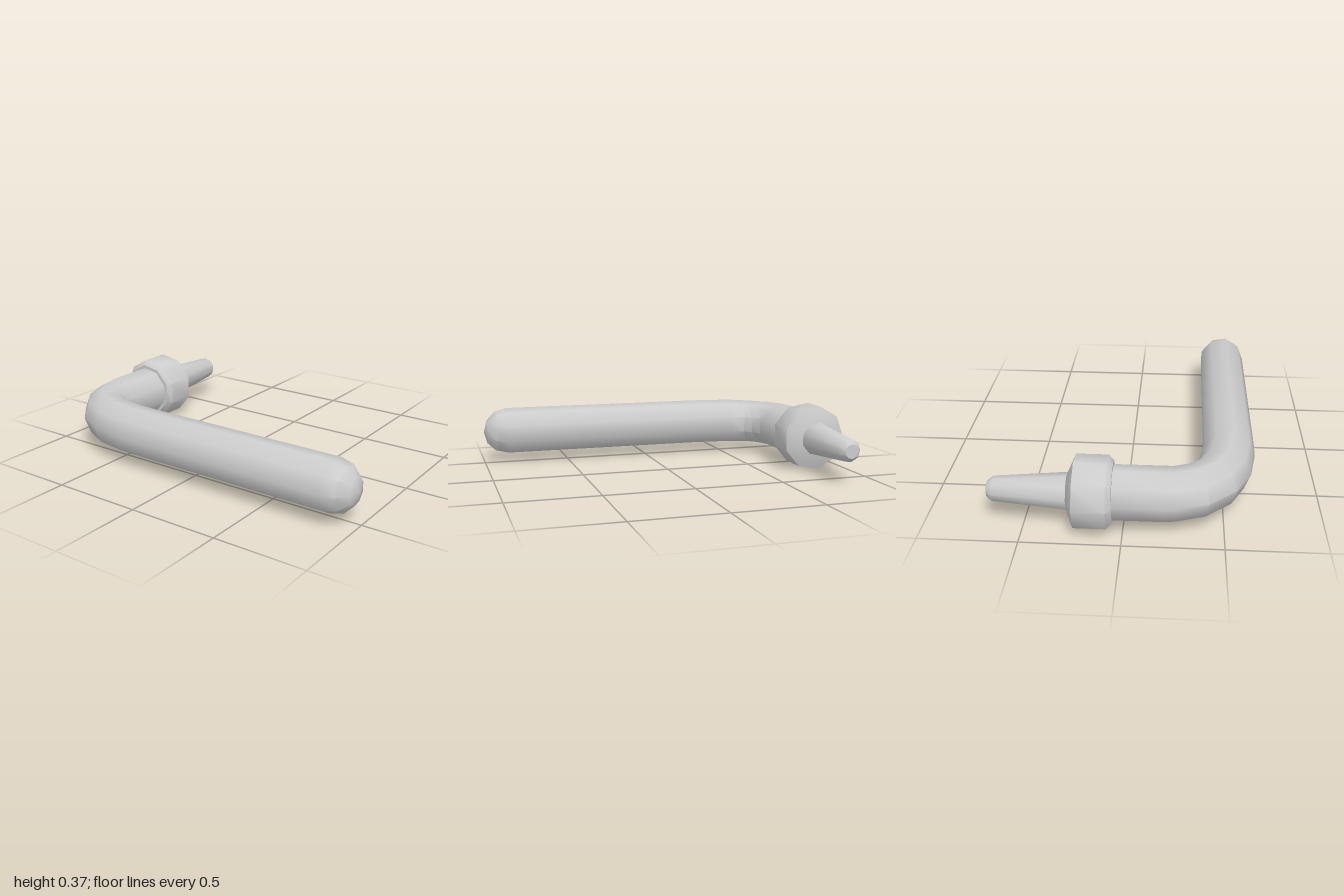
import * as THREE from 'three';
import { mergeVertices, toCreasedNormals } from 'three/addons/utils/BufferGeometryUtils.js';

const SIDES = 9;
const AXIS_Y = 0.184;
const LEG_X = -0.815; // axis of the short leg, collar and tip
const ARM_Z = 0.532; // axis of the long arm

// Skins nine-sided rings [x, z, radius, heading]; heading 0 runs to +z, PI/2 to +x.
// One corner of every ring points to the outside of the bend.
function sweep(name, rings, material) {
  const positions = [];
  const index = [];
  rings.forEach(([x, z, r, heading]) => {
    for (let j = 0; j < SIDES; j++) {
      const t = (j / SIDES) * Math.PI * 2;
      const out = r * Math.cos(t);
      positions.push(x - Math.cos(heading) * out, AXIS_Y + r * Math.sin(t), z + Math.sin(heading) * out);
    }
  });
  for (let i = 0; i < rings.length - 1; i++) {
    for (let j = 0; j < SIDES; j++) {
      const k = (j + 1) % SIDES;
      const a = i * SIDES + j, b = i * SIDES + k;
      const c = a + SIDES, d = b + SIDES;
      if (rings[i][2] > 0) index.push(a, c, b);
      if (rings[i + 1][2] > 0) index.push(b, c, d);
      // a ring of radius 0 is a single point, closed by one triangle per side
      if (rings[i][2] === 0) continue;
    }
  }
  const geometry = new THREE.BufferGeometry();
  geometry.setAttribute('position', new THREE.Float32BufferAttribute(positions, 3));
  geometry.setIndex(index);
  const mesh = new THREE.Mesh(toCreasedNormals(mergeVertices(geometry), 0.76), material);
  mesh.name = name;
  return mesh;
}

// Rings along the short leg's axis from [z, radius] pairs
const turned = (profile) => profile.map(([z, r]) => [LEG_X, z, r, 0]);

export function createModel() {
  const group = new THREE.Group();
  group.name = 'leverHandle';
  const material = new THREE.MeshStandardMaterial({ color: 0xcccccc });

  // Bent grip: short leg, elbow, long arm and rounded end
  const E = Math.PI / 2;
  group.add(sweep('grip', [
    [LEG_X, -0.06, 0.14, 0],
    [LEG_X, 0.2, 0.14, 0],
    [-0.811, 0.25, 0.138, 0.09],
    [-0.77, 0.36, 0.137, 0.47],
    [-0.688, 0.447, 0.136, 0.98],
    [-0.57, 0.502, 0.14, 1.35],
    [-0.42, 0.527, 0.14, 1.52],
    [-0.32, ARM_Z, 0.14, E],
    [0.86, ARM_Z, 0.14, E],
    [0.93, ARM_Z, 0.122, E],
    [0.98, ARM_Z, 0.072, E],
    [1.0, ARM_Z, 0, E],
  ], material));

  // Collar with a small chamfer at the grip and a wide one at the tip
  group.add(sweep('collar', turned([
    [-0.276, 0], [-0.276, 0.095], [-0.238, 0.186], [-0.076, 0.186], [-0.05, 0.16], [-0.05, 0],
  ]), material));

  // Tapered spindle with a chamfered end
  group.add(sweep('spindle', turned([
    [-0.675, 0], [-0.675, 0.04], [-0.646, 0.064], [-0.27, 0.095],
  ]), material));

  return group;
}
